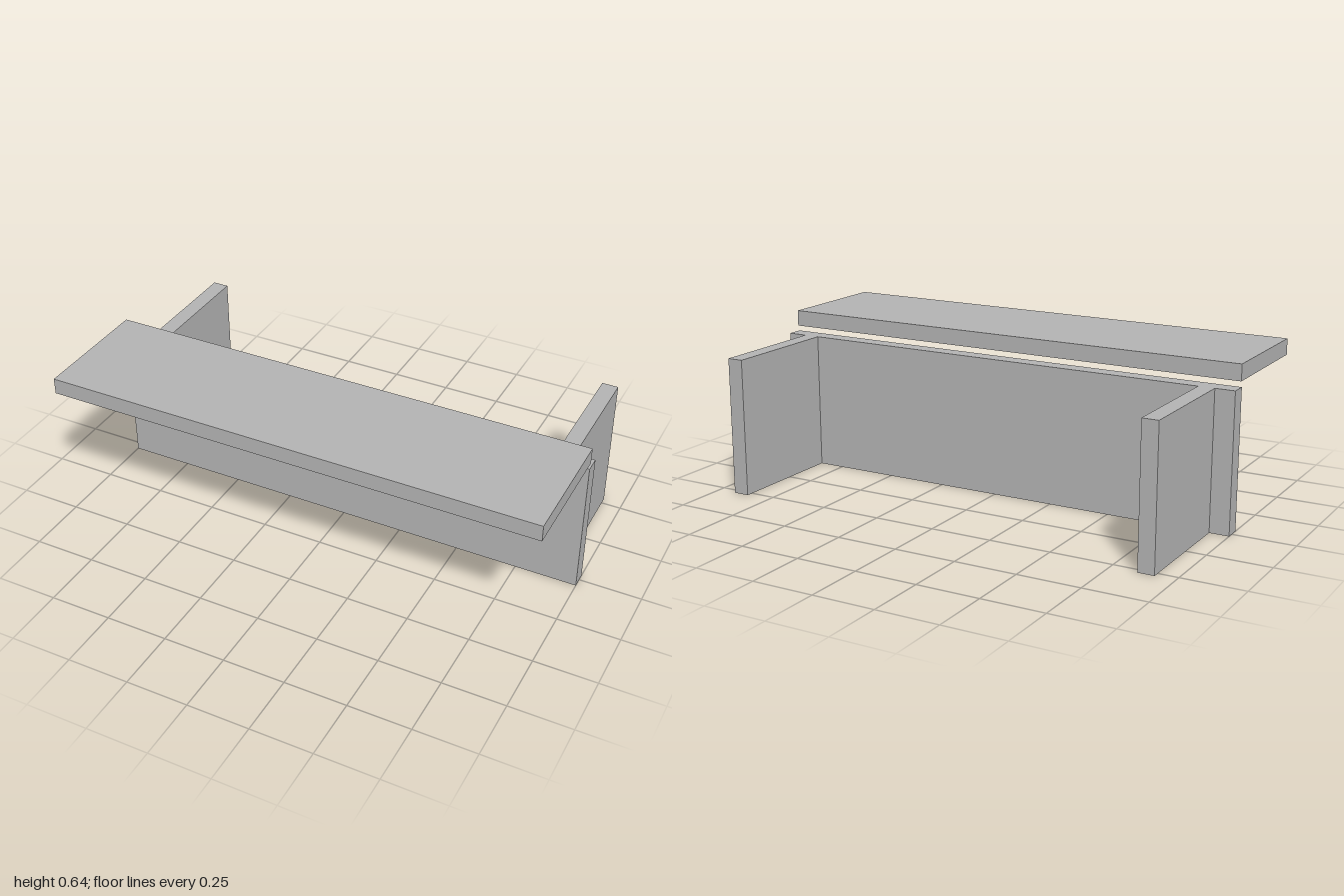
import * as THREE from 'three';

export function createModel() {
  const group = new THREE.Group();
  const grey = new THREE.MeshStandardMaterial({ color: 0xb2b2b2 });
  grey.name = 'grey board';

  // Board spanning the given min and max corners
  function board(name, min, max) {
    const size = max.map((v, i) => v - min[i]);
    const mesh = new THREE.Mesh(new THREE.BoxGeometry(...size), grey);
    mesh.position.set(...max.map((v, i) => (v + min[i]) / 2));
    mesh.name = name;
    group.add(mesh);
  }

  // Counter top floating just above and ahead of the front panel
  board('counterTop', [-1, 0.579, 0.03], [1, 0.644, 0.528]);

  // Upright front panel
  board('frontPanel', [-1, 0, -0.027], [1, 0.556, 0.038]);

  // Two side panels reaching back from the front panel
  board('leftSidePanel', [0.856, 0, -0.528], [0.921, 0.556, -0.027]);
  board('rightSidePanel', [-0.921, 0, -0.528], [-0.856, 0.556, -0.027]);

  return group;
}
